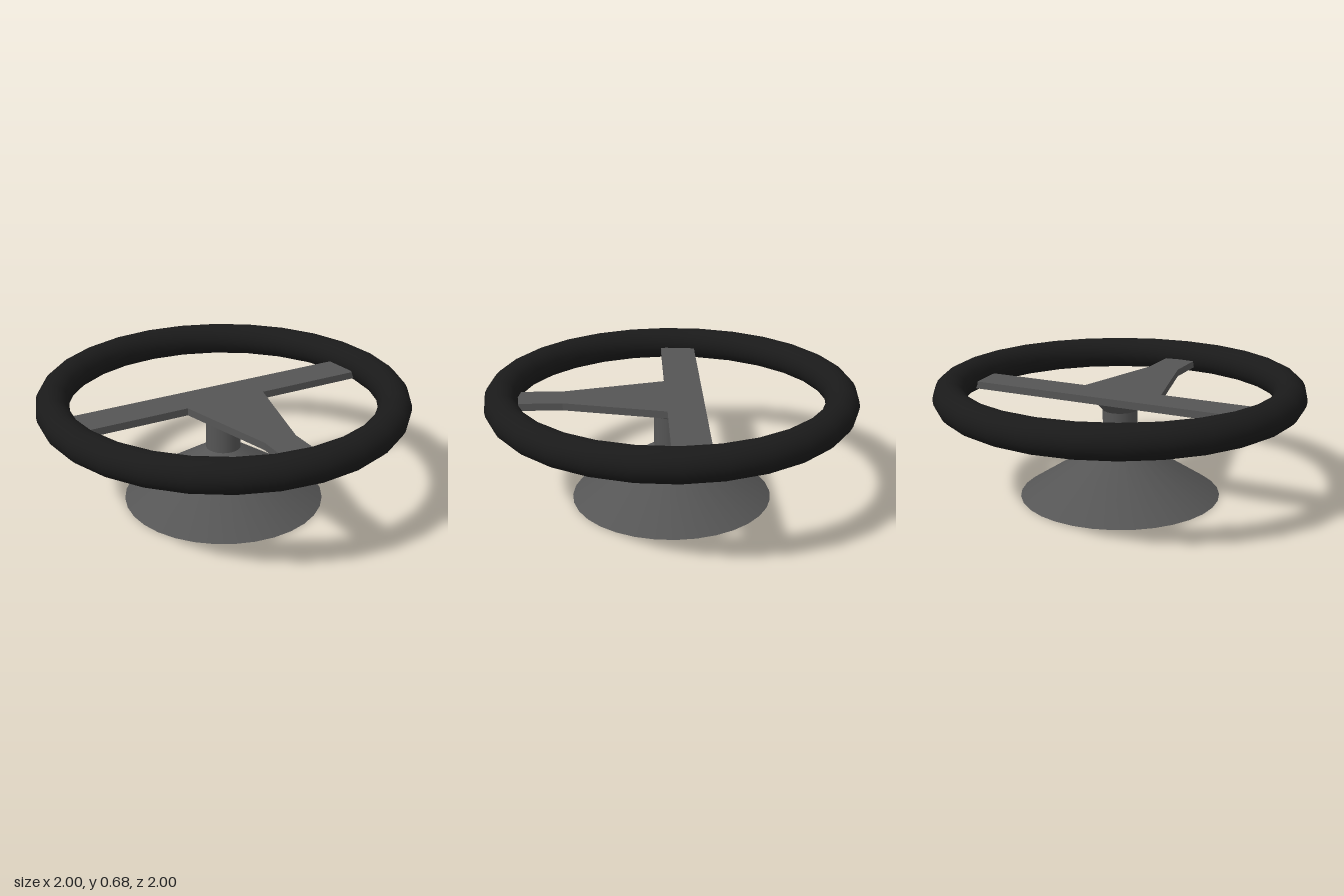
import * as THREE from 'three';

export function createModel() {
  const group = new THREE.Group();
  const metal = new THREE.MeshStandardMaterial({ color: 0x555555 });
  const grip = new THREE.MeshStandardMaterial({ color: 0x1a1a1a });

  const add = (name, geometry, material, y) => {
    const mesh = new THREE.Mesh(geometry, material);
    mesh.name = name;
    mesh.position.y = y;
    group.add(mesh);
  };

  // Round grip lying flat
  add('rim', new THREE.TorusGeometry(0.912, 0.088, 20, 28).rotateX(Math.PI / 2), grip, 0.587);

  // T-shaped spoke plate: right half outline (x, z), mirrored to the left
  const half = [[0.86, -0.17], [0.86, 0.03], [0.23, 0.03], [0.09, 0.58], [0.09, 0.86]];
  const outline = [...half, ...half.map(([x, z]) => [-x, z]).reverse()];
  const shape = new THREE.Shape(outline.map(([x, z]) => new THREE.Vector2(x, z)));
  const plate = new THREE.ExtrudeGeometry(shape, { depth: 0.04, bevelEnabled: false });
  add('spokes', plate.rotateX(Math.PI / 2), metal, 0.58);

  // Pedestal: conical base, column and flared hub, stacked from the floor up
  const stack = [
    ['base', 0.55, 0.095, 0, 0.295],
    ['column', 0.095, 0.095, 0.295, 0.48],
    ['hub', 0.095, 0.145, 0.48, 0.54],
  ];
  for (const [name, bottom, top, y0, y1] of stack) {
    add(name, new THREE.CylinderGeometry(top, bottom, y1 - y0, 32), metal, (y0 + y1) / 2);
  }
  return group;
}
